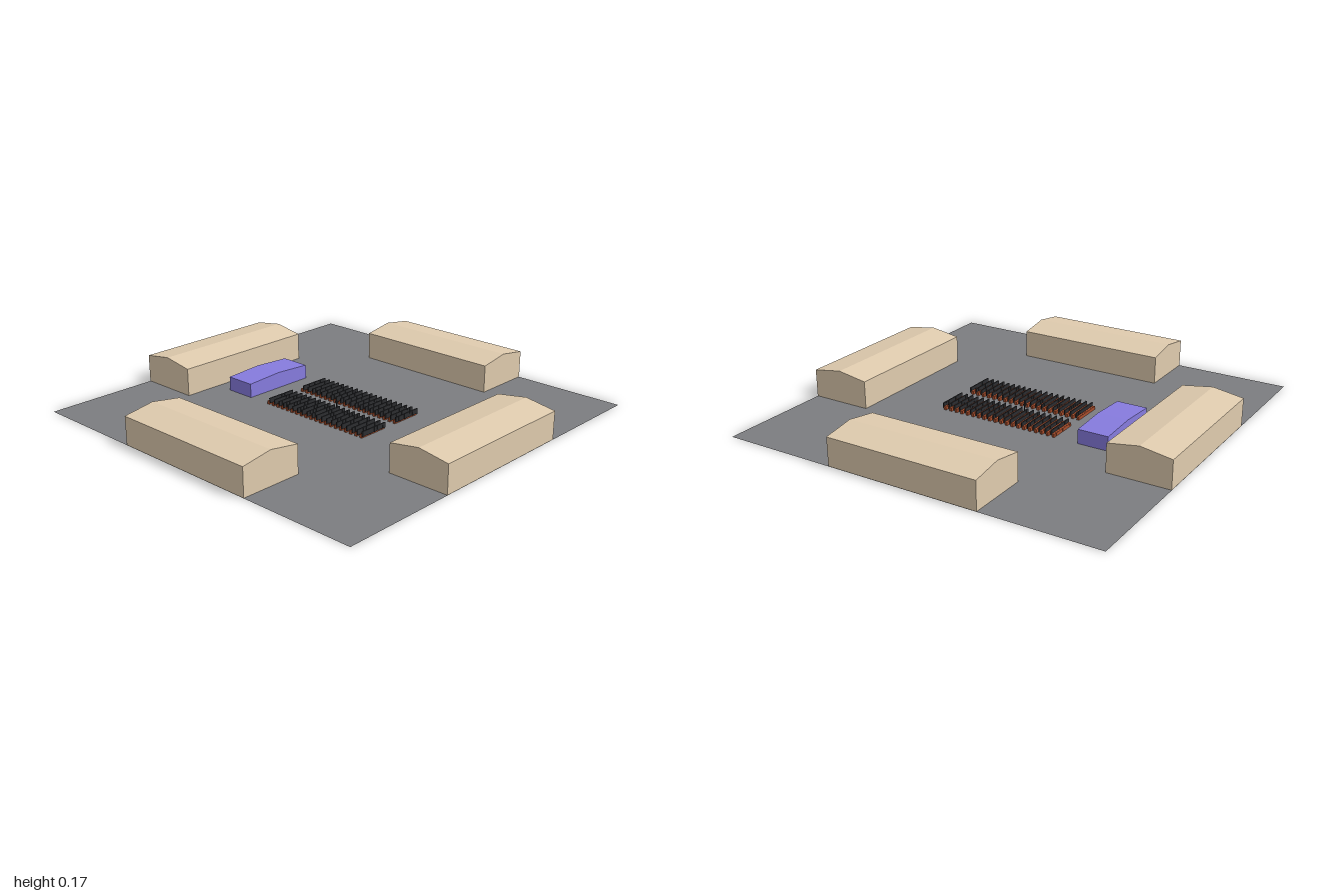
import * as THREE from 'three';
import { mergeGeometries } from 'three/addons/utils/BufferGeometryUtils.js';

const mat = (name, color, side = THREE.FrontSide) => {
  const m = new THREE.MeshStandardMaterial({ color, side });
  m.name = name;
  return m;
};

// Box with its base at y, moved into place
const box = (w, h, d, x, y, z) => new THREE.BoxGeometry(w, h, d).translate(x, y + h / 2, z);

// Gabled block: the profile spans x, the ridge runs along z, centred
function gabledBlock(width, eave, ridge, length) {
  const s = new THREE.Shape();
  const w = width / 2;
  s.moveTo(-w, 0.001);
  s.lineTo(w, 0.001);
  s.lineTo(w, eave);
  s.lineTo(0, ridge);
  s.lineTo(-w, eave);
  s.closePath();
  return new THREE.ExtrudeGeometry(s, { depth: length, bevelEnabled: false }).translate(0, 0, -length / 2);
}

export function createModel() {
  const model = new THREE.Group();
  const paving = mat('grey paving', 0x7c7d80, THREE.DoubleSide);
  const tan = mat('tan walls', 0xdfcbae);
  const violet = mat('violet stage', 0x867bde);
  const rust = mat('rust seat', 0xa84e2c);
  const dark = mat('dark grey', 0x2c2d30);

  const add = (name, geometry, material) => {
    const mesh = new THREE.Mesh(geometry, material);
    mesh.name = name;
    model.add(mesh);
    return mesh;
  };

  // Square ground
  add('ground', new THREE.PlaneGeometry(2, 2).rotateX(-Math.PI / 2), paving);

  // One hall in the middle of each edge, its long side along the edge
  const hall = gabledBlock(0.32, 0.145, 0.17, 0.8);
  ['leftHall', 'backHall', 'rightHall', 'frontHall'].forEach((name, i) => {
    const a = (i * Math.PI) / 2;
    const mesh = add(name, hall, tan);
    mesh.rotation.y = a;
    mesh.position.set(0.84 * Math.cos(a), 0, -0.84 * Math.sin(a));
  });

  // Stage with a shallow ridge running front to back
  add('stage', gabledBlock(0.4, 0.074, 0.085, 0.16), violet).position.z = -0.506;

  // Two blocks of chairs facing the stage: rust seats with dark backs
  for (const side of [1, -1]) {
    const seats = [];
    const backs = [];
    for (let row = 0; row < 20; row++)
      for (let col = 0; col < 8; col++) {
        const x = side * (0.0485 + col * 0.0205);
        const z = -0.29 + row * 0.033;
        seats.push(box(0.019, 0.017, 0.013, x, 0.001, z - 0.004));
        backs.push(box(0.019, 0.026, 0.007, x, 0.01, z + 0.006));
      }
    const block = side > 0 ? 'left' : 'right';
    add(block + 'Seats', mergeGeometries(seats), rust);
    add(block + 'SeatBacks', mergeGeometries(backs), dark);
  }

  // Small stand in the aisle
  add('aisleStand', mergeGeometries([
    box(0.004, 0.028, 0.004, 0, 0.001, -0.01),
    box(0.01, 0.008, 0.014, 0, 0.029, -0.01),
  ]), dark);

  return model;
}
